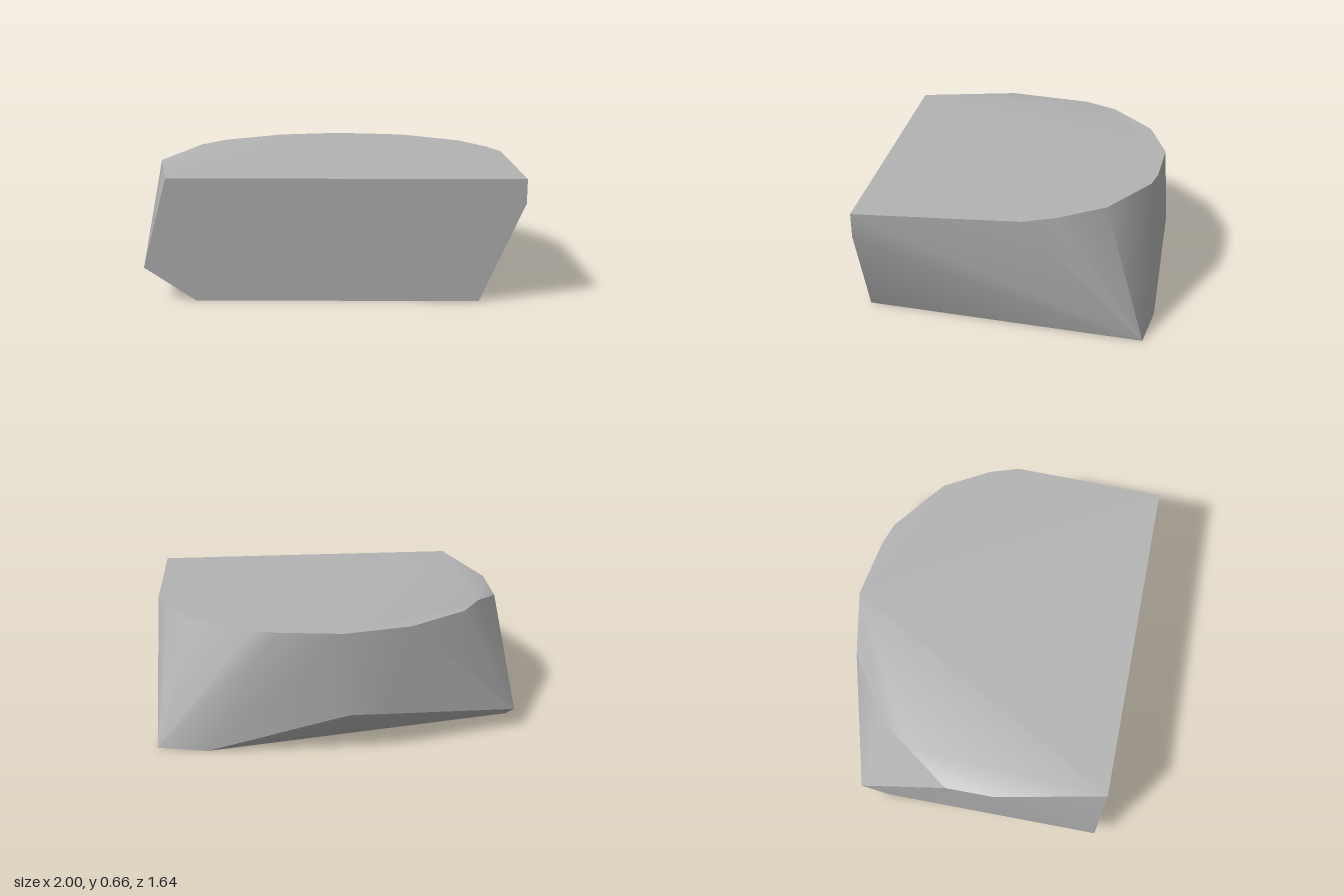
import * as THREE from 'three';
import { toCreasedNormals } from 'three/addons/utils/BufferGeometryUtils.js';
import { ConvexGeometry } from 'three/addons/geometries/ConvexGeometry.js';

const HEIGHT = 0.66;

export function createModel() {
  const group = new THREE.Group();
  group.name = 'stoneBlock';
  const stone = new THREE.MeshStandardMaterial({ color: 0xb3b3b3 });
  stone.name = 'stone grey';

  // rounded rim of the flat top, as x, z
  const rim = [
    [1, 0.82], [1, -0.05], [0.94, -0.22], [0.79, -0.47], [0.47, -0.7], [0.34, -0.74],
    [0, -0.79], [-0.37, -0.71], [-0.71, -0.48], [-0.84, -0.29], [-0.87, 0.82],
  ].map(([x, z]) => new THREE.Vector3(x, HEIGHT, z));

  // corners of the flat base, as x, z
  const base = [
    [0.77, 0.82], [1, -0.68], [0.73, -0.745], [-1, -0.43], [-0.73, 0.82],
  ].map(([x, z]) => new THREE.Vector3(x, 0, z));

  // chipped corners between base and top
  const chips = [
    [1, 0.53, 0.82], [-1, 0.18, 0.82],
    [-1, 0.65, 0.22], [-1, 0.61, -0.05],
    [-1, 0.1, -0.59], [-0.24, 0.2, -0.8], [-0.03, 0.21, -0.82],
  ].map((p) => new THREE.Vector3(...p));

  // the convex block, soft across shallow edges and sharp elsewhere
  const hull = new ConvexGeometry([...rim, ...base, ...chips]);
  const block = new THREE.Mesh(toCreasedNormals(hull, Math.PI / 6), stone);
  block.name = 'block';
  group.add(block);
  return group;
}
